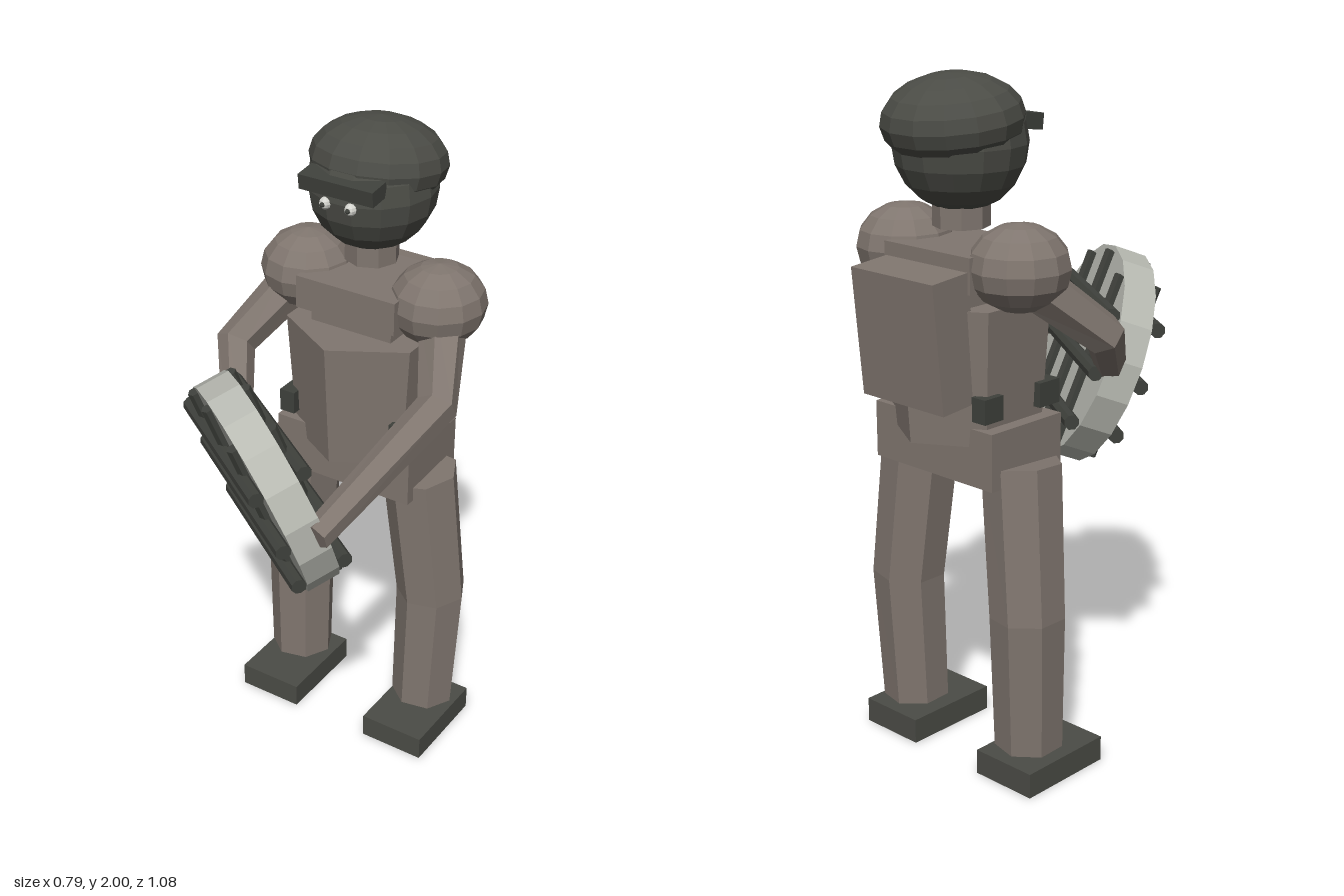
import * as THREE from 'three';

const mat = (name, color) => {
  const m = new THREE.MeshStandardMaterial({ color, flatShading: true });
  m.name = name;
  return m;
};

// Faceted limb lofted through joints, with a ring of corners at each joint
function limbGeometry(joints, radii, sides, ref) {
  const pts = joints.map((p) => new THREE.Vector3(...p));
  const rings = pts.map((p, k) => {
    const t = new THREE.Vector3();
    if (k > 0) t.add(p.clone().sub(pts[k - 1]).normalize());
    if (k < pts.length - 1) t.add(pts[k + 1].clone().sub(p).normalize());
    t.normalize();
    const x = new THREE.Vector3().crossVectors(ref, t).normalize();
    const y = new THREE.Vector3().crossVectors(t, x);
    return Array.from({ length: sides }, (_, i) => {
      const a = (i / sides) * Math.PI * 2;
      return p.clone().addScaledVector(x, Math.cos(a) * radii[k]).addScaledVector(y, Math.sin(a) * radii[k]);
    });
  });
  const tris = [];
  const last = rings.length - 1;
  for (let i = 0; i < sides; i++) {
    const j = (i + 1) % sides;
    for (let k = 0; k < last; k++) {
      const a = rings[k], b = rings[k + 1];
      tris.push(a[i], a[j], b[i], a[j], b[j], b[i]);
    }
    tris.push(pts[0], rings[0][j], rings[0][i], pts[last], rings[last][i], rings[last][j]);
  }
  const g = new THREE.BufferGeometry().setFromPoints(tris);
  g.computeVertexNormals();
  return g;
}

export function createModel() {
  const model = new THREE.Group();
  model.name = 'shieldBearer';
  const cloth = mat('warm grey cloth', 0x80766f);
  const dark = mat('dark olive grey', 0x4b4c46);
  const iron = mat('dark iron', 0x3f413c);
  const plate = mat('pale shield grey', 0xb8bab2);
  const white = mat('eye white', 0xd6d6d0);

  const add = (name, geo, material, pos = [0, 0, 0], rot = [0, 0, 0], parent = model) => {
    const m = new THREE.Mesh(geo, material);
    m.name = name;
    m.position.set(...pos);
    m.rotation.set(...rot);
    parent.add(m);
    return m;
  };
  const box = (w, h, d) => new THREE.BoxGeometry(w, h, d);
  const X = new THREE.Vector3(1, 0, 0), Z = new THREE.Vector3(0, 0, 1);

  // Head, cap and visor
  add('head', new THREE.SphereGeometry(0.187, 14, 10), dark, [-0.003, 1.812, -0.27]);
  const cap = add('cap', new THREE.SphereGeometry(0.2, 14, 10), dark, [-0.003, 1.876, -0.298], [-0.12, 0, 0]);
  cap.scale.set(1, 0.62, 0.97);
  add('visor', box(0.24, 0.045, 0.07), iron, [-0.003, 1.862, -0.108], [0.12, 0, 0]);
  add('neck', new THREE.CylinderGeometry(0.08, 0.08, 0.08, 8), cloth, [-0.003, 1.625, -0.27]);

  // Torso, yoke and hips
  add('torso', new THREE.CylinderGeometry(0.242, 0.215, 0.385, 6), cloth, [0, 1.203, -0.258]);
  add('yoke', box(0.33, 0.1, 0.28), cloth, [-0.003, 1.49, -0.265]);
  add('chestCore', box(0.27, 0.08, 0.22), cloth, [0, 1.41, -0.265]);
  add('hips', box(0.46, 0.165, 0.275), cloth, [0, 0.982, -0.253]);

  // Pack carried on the back
  add('backpack', box(0.315, 0.365, 0.13), cloth, [-0.002, 1.313, -0.452], [-0.09, 0, 0]);

  for (const s of [1, -1]) {
    const side = s > 0 ? 'left' : 'right';

    // Eyes
    add(side + 'Eye', new THREE.SphereGeometry(0.018, 8, 6), white, [s * 0.041 - 0.004, 1.807, -0.09]);
    add(side + 'Pupil', new THREE.SphereGeometry(0.008, 6, 4), iron, [s * 0.041 - 0.004, 1.807, -0.074]);

    // Shoulder
    const shoulder = add(side + 'Shoulder', new THREE.SphereGeometry(0.144, 12, 8), cloth, [s * 0.22, 1.502, -0.27]);
    shoulder.scale.set(0.98, 0.84, 1);

    // Belt pouches on the flanks
    add(side + 'FrontPouch', box(0.05, 0.07, 0.08), iron, [s * 0.19, 1.125, -0.145]);
    add(side + 'BackPouch', box(0.05, 0.07, 0.07), iron, [s * 0.19, 1.125, -0.365]);

    // Leg and foot
    const leg = [[s * 0.2 - 0.004, 0.945, -0.245], [s * 0.243 - 0.004, 0.505, -0.268], [s * 0.235 - 0.004, 0.1, -0.255]];
    add(side + 'Leg', limbGeometry(leg, [0.115, 0.109, 0.1], 7, Z), cloth);
    add(side + 'Foot', box(0.21, 0.075, 0.305), dark, [s * 0.235 - 0.005, 0.0375, -0.212]);

    // Arm: the left hand grips the far rim, the right hand the near rim
    const hand = s > 0 ? [0.272, 1.125, 0.44] : [-0.19, 1.11, 0.15];
    const arm = [[s * 0.25, 1.46, -0.25], [s * 0.343, 1.3, -0.065], hand];
    add(side + 'Arm', limbGeometry(arm, [0.07, 0.06, 0.042], 6, X), cloth);
  }

  // Round shield, turned to the right and tipped forward
  const shield = new THREE.Group();
  shield.name = 'shield';
  const n = new THREE.Vector3(-0.53, -0.355, 0.77).normalize();
  const u = new THREE.Vector3(-n.x, 0, 0).set(n.z, 0, -n.x).normalize();
  const v = new THREE.Vector3().crossVectors(n, u);
  shield.quaternion.setFromRotationMatrix(new THREE.Matrix4().makeBasis(u, v, n));
  shield.position.set(-0.003, 1.115, 0.273);
  model.add(shield);
  add('shieldDisc', new THREE.CylinderGeometry(0.327, 0.327, 0.1, 18), plate, [0, 0, 0], [Math.PI / 2, 0, 0], shield);

  // Lattice of bars on both faces
  for (const face of [1, -1]) {
    for (const i of [-1, 0, 1]) {
      const length = i === 0 ? 0.62 : 0.54;
      add('crossBar', new THREE.CylinderGeometry(0.023, 0.023, length, 8), iron,
        [0, i * 0.166, face * 0.072], [0, 0, Math.PI / 2], shield);
      add('uprightBar', new THREE.CylinderGeometry(0.019, 0.019, length, 6), iron,
        [i * 0.16, 0, face * 0.056], [0, 0, 0], shield);
    }
  }
  return model;
}
